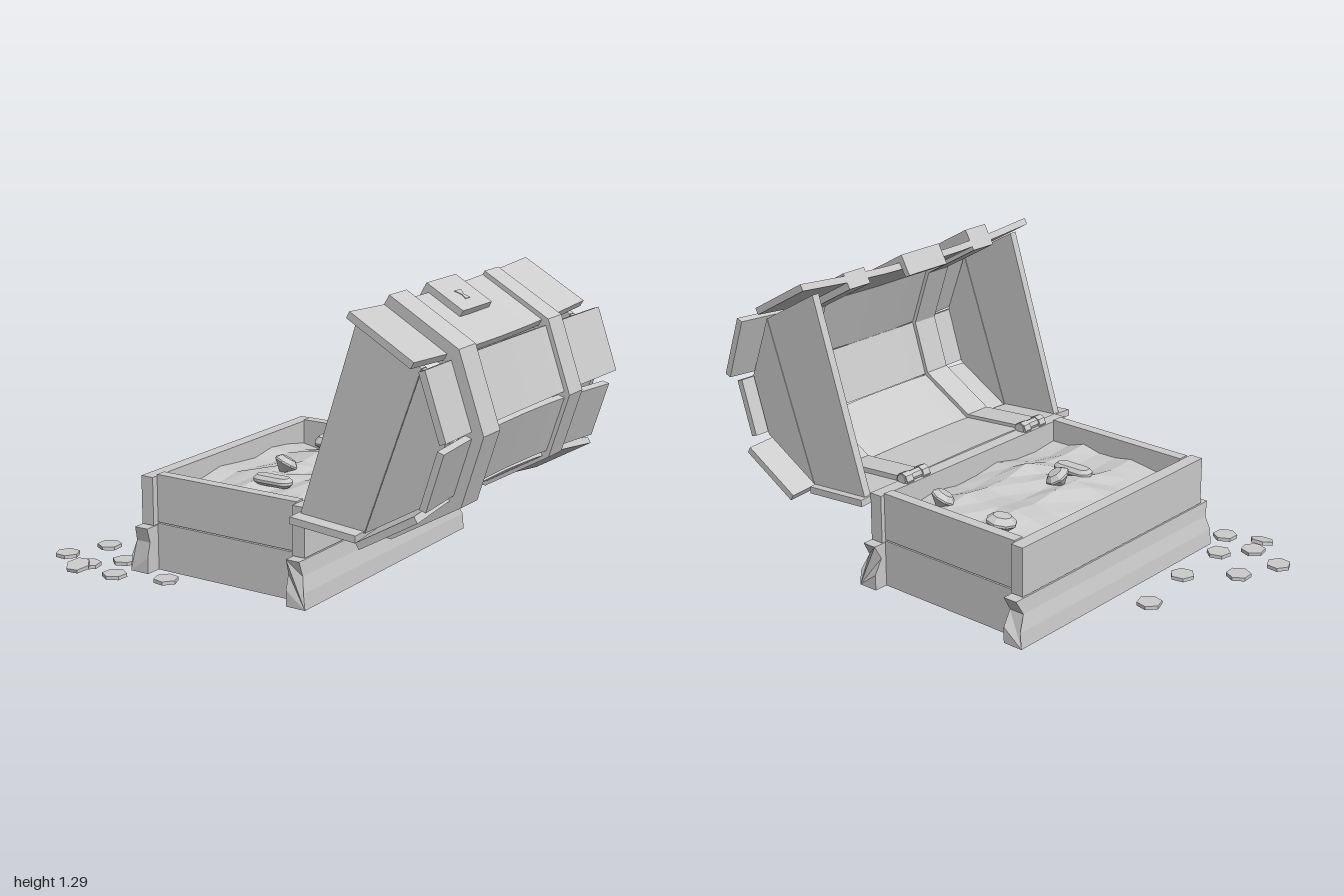
import * as THREE from 'three';

const mat = new THREE.MeshStandardMaterial({ color: 0xcccccc, flatShading: true });
const openMat = new THREE.MeshStandardMaterial({ color: 0xcccccc, flatShading: true, side: THREE.DoubleSide });

function add(parent, name, geo, x = 0, y = 0, z = 0, material = mat) {
  const m = new THREE.Mesh(geo, material);
  m.name = name;
  m.position.set(x, y, z);
  parent.add(m);
  return m;
}

// Box given by its two extreme corners
function block(parent, name, x0, x1, y0, y1, z0, z1) {
  return add(parent, name, new THREE.BoxGeometry(x1 - x0, y1 - y0, z1 - z0),
    (x0 + x1) / 2, (y0 + y1) / 2, (z0 + z1) / 2);
}

// Side profile in x, y pushed from z0 to z1
function prism(pts, z0, z1) {
  const shape = new THREE.Shape(pts.map(p => new THREE.Vector2(p[0], p[1])));
  const geo = new THREE.ExtrudeGeometry(shape, { depth: z1 - z0, bevelEnabled: false });
  return geo.translate(0, 0, z0);
}

// Mitred outward offset of an open counter-clockwise line
function offset(line, d) {
  const normals = line.slice(1).map((p, i) => {
    const dx = p[0] - line[i][0], dy = p[1] - line[i][1], l = Math.hypot(dx, dy);
    return [dy / l, -dx / l];
  });
  return line.map((p, i) => {
    const a = normals[Math.max(i - 1, 0)], b = normals[Math.min(i, normals.length - 1)];
    const k = d / (1 + a[0] * b[0] + a[1] * b[1]);
    return [p[0] + (a[0] + b[0]) * k, p[1] + (a[1] + b[1]) * k];
  });
}

function buildBase() {
  const base = new THREE.Group();
  base.name = 'chestBase';
  const foot = [[0.21, 0], [0.302, 0], [0.295, 0.07], [0.28, 0.135], [0.274, 0.2], [0.21, 0.2], [0.21, 0.135], [0.21, 0.07]];
  for (const front of [false, true]) {
    const mx = x => (front ? -0.29 - x : x);
    const side = front ? 'front' : 'back';
    // Flared lower plank with a worn notch at both ends
    const geo = prism(foot.map(([x, y]) => [mx(x), y]), -0.69, 0.6);
    const p = geo.attributes.position;
    for (let i = 0; i < p.count; i++) {
      if (Math.abs(p.getY(i) - 0.135) < 0.01) p.setZ(i, p.getZ(i) < 0 ? -0.652 : 0.582);
    }
    add(base, side + 'LowerPlank', geo);
    const [a, b] = [mx(0.21), mx(0.27)].sort((u, v) => u - v);
    block(base, side + 'UpperPlank', a, b, 0.203, 0.415, -0.645, 0.555);
  }
  // End boards
  for (const z of [-0.6, 0.5]) {
    block(base, 'endLowerBoard', -0.5, 0.21, 0, 0.207, z - 0.026, z + 0.026);
    block(base, 'endUpperBoard', -0.5, 0.21, 0.212, 0.422, z - 0.025, z + 0.025);
  }
  block(base, 'floor', -0.5, 0.21, 0.015, 0.035, -0.59, 0.49);
  // Hinges
  for (const z of [-0.41, 0.355]) {
    const barrel = add(base, 'hingeBarrel', new THREE.CylinderGeometry(0.024, 0.024, 0.15, 8), 0.247, 0.428, z);
    barrel.rotation.x = Math.PI / 2;
    for (const s of [-0.05, 0.05]) {
      const knuckle = add(base, 'hingeKnuckle', new THREE.CylinderGeometry(0.033, 0.033, 0.04, 8), 0.247, 0.423, z + s);
      knuckle.rotation.x = Math.PI / 2;
    }
  }
  return base;
}

function buildLid() {
  const lid = new THREE.Group();
  lid.name = 'lid';
  // Outline of the open lid from hinge edge to free edge
  const line = [[0.27, 0.395], [0.585, 0.37], [0.86, 0.53], [0.94, 0.785], [0.84, 1.07], [0.55, 1.235]];
  const inner = offset(line, -0.026);
  // Each plank: z start, z end, outward bow at its ends
  const planks = [[-0.7, 0.66, 0.02], [-0.77, 0.69, 0.042], [-0.72, 0.67, 0.036], [-0.78, 0.65, 0.034], [-0.71, 0.69, 0.034]];
  planks.forEach(([z0, z1, bow], i) => {
    const [a, b] = [inner[i], inner[i + 1]];
    const dx = b[0] - a[0], dy = b[1] - a[1];
    const geo = new THREE.BoxGeometry(Math.hypot(dx, dy), 0.03, z1 - z0, 1, 1, 6);
    geo.translate(0, 0.015, (z0 + z1) / 2);
    const p = geo.attributes.position;
    for (let k = 0; k < p.count; k++) {
      const t = (p.getZ(k) - 0.04) / 0.7;
      p.setY(k, p.getY(k) + bow * t * t);
    }
    const g = new THREE.Group();
    g.name = 'lidPlankGroup';
    g.position.set((a[0] + b[0]) / 2, (a[1] + b[1]) / 2, 0);
    g.rotation.z = Math.atan2(-dy, -dx);
    add(g, 'lidPlank', geo);
    lid.add(g);
    if (i === 4) addLock(g);
  });
  // Straps wrapping the planks inside and out; one stands out a little further
  const strap = out => [...offset(line, out), ...offset(line, -0.038).reverse()];
  add(lid, 'strap', prism(strap(0.034), -0.47, -0.35));
  add(lid, 'strap', prism(strap(0.06), 0.3, 0.43));
  // End panels, two boards each
  const boards = [
    [[0.28, 0.4], [0.58, 0.376], [0.827, 1.062], [0.545, 1.222]],
    [[0.583, 0.376], [0.855, 0.534], [0.934, 0.785], [0.83, 1.062]],
  ];
  for (const z of [-0.67, 0.565]) {
    for (const pts of boards) add(lid, 'lidEndBoard', prism(pts, z, z + 0.035));
  }
  return lid;
}

// Lock plate, hasp over the free edge, and keyhole
function addLock(g) {
  block(g, 'lockPlate', -0.185, 0.005, 0.025, 0.06, -0.15, 0.085);
  block(g, 'lockHasp', -0.19, -0.163, -0.035, 0.06, -0.15, 0.085);
  const hole = [[-0.03, -0.025], [-0.03, 0.025], [0, 0.007], [0.025, 0.018], [0.025, -0.018], [0, -0.007]];
  add(g, 'keyhole', prism(hole, 0, 0.004), -0.075, 0.059, -0.033).rotation.x = -Math.PI / 2;
}

function buildTreasure() {
  const t = new THREE.Group();
  t.name = 'treasure';
  // Low dome with ripples along each axis
  const height = (x, z) => 0.3 + 0.06 * Math.cos((x + 0.145) * 3) * Math.cos((z + 0.05) * 2.2)
    + 0.013 * Math.sin(x * 23 + 1) + 0.014 * Math.sin(z * 15 + 0.5)
    + 0.008 * Math.sin(x * 31) * Math.sin(z * 19);
  // Faceted heap
  const heap = new THREE.PlaneGeometry(0.71, 1.05, 8, 8).rotateX(-Math.PI / 2).translate(-0.145, 0, -0.05);
  const p = heap.attributes.position;
  for (let i = 0; i < p.count; i++) p.setY(i, height(p.getX(i), p.getZ(i)));
  add(t, 'treasureHeap', heap, 0, 0, 0, openMat);
  // Cut gems: x, z, radius, tilt
  const gems = [[-0.28, -0.45, 0.066, 0.1], [0.08, -0.41, 0.056, 0.35], [-0.19, 0.02, 0.056, -0.35]];
  for (const [x, z, r, tilt] of gems) {
    const profile = [[0, -0.9], [1, 0], [1, 0.15], [0.6, 0.5], [0, 0.5]];
    const geo = new THREE.LatheGeometry(profile.map(([a, b]) => new THREE.Vector2(a * r, b * r)), 8);
    add(t, 'gem', geo, x, height(x, z) + 0.025, z).rotation.set(tilt, 0.2, tilt);
  }
  // Long bevelled gem
  const s = new THREE.Shape();
  s.absarc(0.055, 0, 0.025, -Math.PI / 2, Math.PI / 2);
  s.absarc(-0.055, 0, 0.025, Math.PI / 2, Math.PI * 1.5);
  const long = new THREE.ExtrudeGeometry(s, { depth: 0.012, curveSegments: 4, bevelSize: 0.015, bevelThickness: 0.015, bevelSegments: 1 });
  add(t, 'longGem', long.rotateX(-Math.PI / 2), -0.145, height(-0.145, 0.18) + 0.022, 0.18);
  return t;
}

function buildCoins() {
  const coins = new THREE.Group();
  coins.name = 'spilledCoins';
  const spots = [[-0.74, -0.05], [-0.69, 0.25], [-0.87, 0.41], [-0.947, 0.6], [-0.68, 0.535],
    [-0.78, 0.655], [-0.775, 0.73], [-0.6, 0.7], [-0.38, 0.63]];
  spots.forEach(([x, z], i) => {
    const leaning = i === 6;
    const c = add(coins, 'coin', new THREE.CylinderGeometry(0.054, 0.054, 0.016, 6), x, leaning ? 0.024 : 0.008, z);
    c.rotation.set(leaning ? 0.24 : 0, i * 0.4 + 0.3, 0);
  });
  return coins;
}

export function createModel() {
  const model = new THREE.Group();
  model.name = 'treasureChest';
  model.add(buildBase(), buildLid(), buildTreasure(), buildCoins());
  return model;
}
